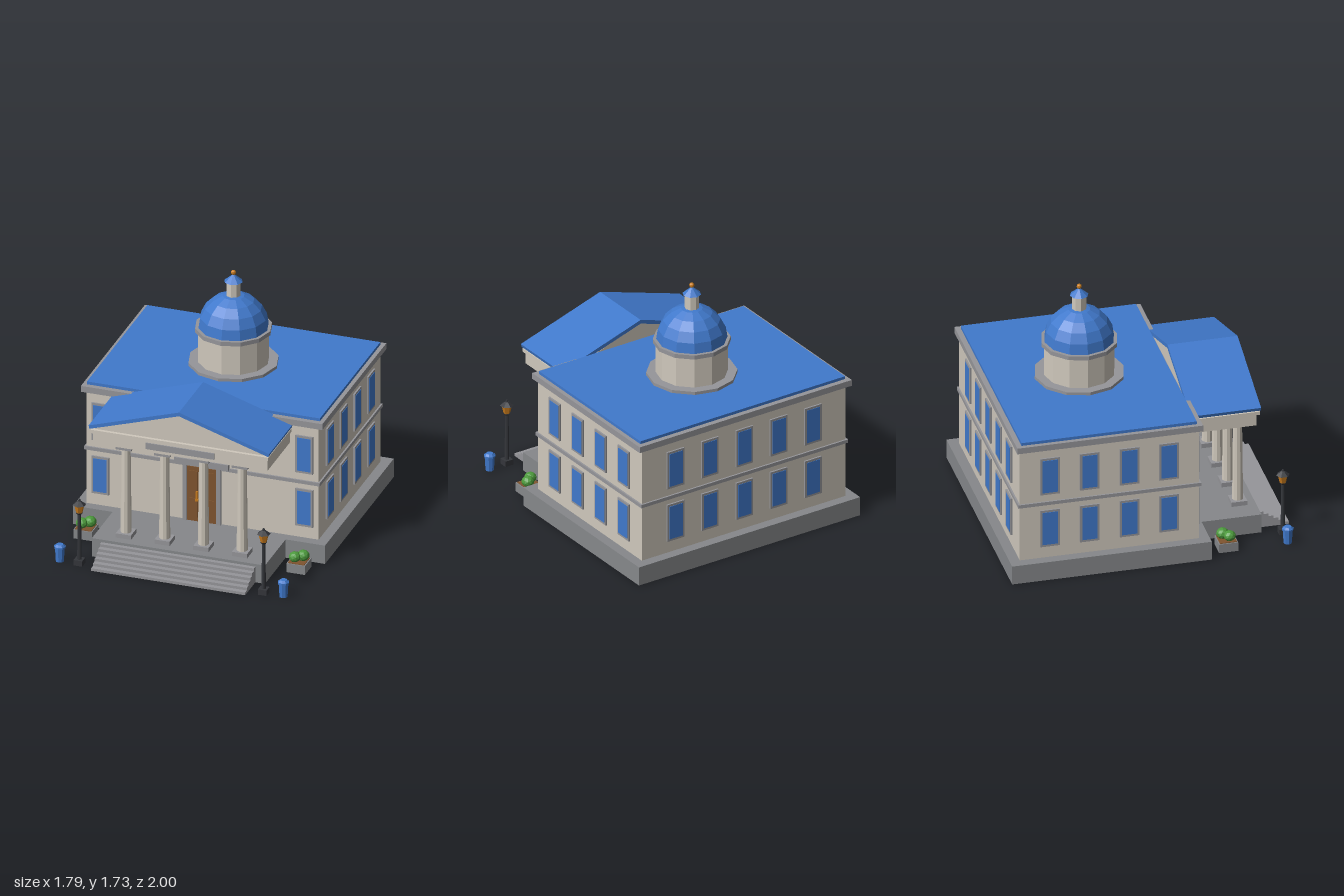
import * as THREE from 'three';

const mat = (name, color, flat = true) => {
  const m = new THREE.MeshStandardMaterial({ color, flatShading: flat });
  m.name = name;
  return m;
};

export function createModel() {
  const M = {
    wall: mat('limestone', 0xd0c9bd),
    trim: mat('grey trim', 0x96969a),
    base: mat('foundation stone', 0x86888b),
    blue: mat('blue roof and glass', 0x4079cc),
    wood: mat('brown wood', 0x80552f),
    amber: mat('amber', 0xc97c1e),
    dark: mat('dark iron', 0x34363b),
    leaf: mat('leaf green', 0x4c9a3c),
  };
  const root = new THREE.Group();
  root.name = 'domedHall';

  const add = (name, geo, m, x = 0, y = 0, z = 0, parent = root) => {
    const mesh = new THREE.Mesh(geo, m);
    mesh.name = name;
    mesh.position.set(x, y, z);
    parent.add(mesh);
    return mesh;
  };
  // Box given by half width in x, and y and z ranges
  const slab = (name, hx, y0, y1, z0, z1, m) =>
    add(name, new THREE.BoxGeometry(hx * 2, y1 - y0, z1 - z0), m, 0, (y0 + y1) / 2, (z0 + z1) / 2);
  // Upright faceted cylinder from y0 to y1
  const drum = (name, rTop, rBottom, y0, y1, sides, m, x, z, parent = root) =>
    add(name, new THREE.CylinderGeometry(rTop, rBottom, y1 - y0, sides), m, x, (y0 + y1) / 2, z, parent);
  const group = (name, x = 0, y = 0, z = 0) => {
    const g = new THREE.Group();
    g.name = name;
    g.position.set(x, y, z);
    root.add(g);
    return g;
  };

  // Foundation, porch floor and steps
  slab('foundation', 0.895, 0, 0.137, -1, 0.38, M.base);
  slab('porchFloor', 0.615, 0, 0.137, 0.38, 0.795, M.base);
  for (let i = 0; i < 6; i++) {
    slab('step', 0.547, 0, (i + 1) * 0.0196, 0.79, 1 - i * 0.035, M.trim);
  }

  // Main block
  slab('walls', 0.825, 0.137, 0.98, -0.93, 0.31, M.wall);
  slab('floorBand', 0.837, 0.542, 0.567, -0.942, 0.322, M.trim);
  slab('cornice', 0.858, 0.973, 1.017, -0.955, 0.33, M.trim);
  slab('mainRoof', 0.828, 1.017, 1.038, -0.918, 0.293, M.blue);

  // Windows: frame with a slightly raised pane, two storeys on every side
  const addWindow = (x, y, z, turn, w) => {
    const g = group('window', x, y, z);
    g.rotation.y = turn;
    add('windowFrame', new THREE.BoxGeometry(w, 0.278, 0.024), M.trim, 0, 0, 0, g);
    add('windowPane', new THREE.BoxGeometry(w - 0.03, 0.246, 0.006), M.blue, 0, 0, 0.012, g);
  };
  for (const y of [0.363, 0.761]) {
    for (const s of [-1, 1]) {
      addWindow(s * 0.725, y, 0.31, 0, 0.124);
      for (const z of [0.1, -0.173, -0.448, -0.723]) addWindow(s * 0.825, y, z, s * Math.PI / 2, 0.135);
    }
    for (let i = -2; i <= 2; i++) addWindow(i * 0.278, y, -0.93, Math.PI, 0.135);
  }

  // Double door
  const door = group('door');
  add('doorway', new THREE.BoxGeometry(0.215, 0.42, 0.02), M.dark, 0, 0.347, 0.31, door);
  add('doorLintel', new THREE.BoxGeometry(0.385, 0.044, 0.05), M.trim, 0, 0.579, 0.315, door);
  for (const s of [-1, 1]) {
    add('doorJamb', new THREE.BoxGeometry(0.03, 0.42, 0.04), M.trim, s * 0.12, 0.347, 0.315, door);
    add('doorLeaf', new THREE.BoxGeometry(0.098, 0.405, 0.03), M.wood, s * 0.054, 0.342, 0.312, door);
    for (const [y, h] of [[0.24, 0.14], [0.44, 0.15]]) {
      add('doorPanel', new THREE.BoxGeometry(0.062, h, 0.006), M.wood, s * 0.058, y, 0.329, door);
    }
    add('doorHandle', new THREE.BoxGeometry(0.012, 0.07, 0.016), M.amber, s * 0.03, 0.335, 0.338, door);
    add('handleFoot', new THREE.BoxGeometry(0.022, 0.014, 0.02), M.amber, s * 0.03, 0.305, 0.338, door);
  }

  // Porch columns
  for (const x of [-0.413, -0.138, 0.138, 0.413]) {
    const g = group('column', x, 0, 0.68);
    add('columnFoot', new THREE.BoxGeometry(0.108, 0.032, 0.108), M.trim, 0, 0.153, 0, g);
    drum('columnShaft', 0.031, 0.038, 0.169, 0.8, 10, M.wall, 0, 0, g);
    add('columnCapital', new THREE.BoxGeometry(0.112, 0.03, 0.112), M.trim, 0, 0.815, 0, g);
  }

  // Entablature, pediment and pitched porch roof
  slab('entablature', 0.62, 0.83, 0.915, 0.3, 0.76, M.wall);
  slab('porchCornice', 0.633, 0.915, 0.94, 0.3, 0.78, M.wall);
  slab('plaque', 0.243, 0.854, 0.9, 0.755, 0.768, M.trim);
  const prism = (name, points, z0, z1, m) => add(
    name,
    new THREE.ExtrudeGeometry(new THREE.Shape(points.map(p => new THREE.Vector2(...p))), { depth: z1 - z0, bevelEnabled: false }),
    m, 0, 0, z0);
  prism('pediment', [[-0.62, 0.94], [0.62, 0.94], [0, 1.15]], 0.305, 0.757, M.wall);
  prism('porchRoofRight', [[-0.635, 0.948], [0, 1.148], [0, 1.176], [-0.642, 0.972]], 0.3, 0.785, M.blue);
  prism('porchRoofLeft', [[0.635, 0.948], [0.642, 0.972], [0, 1.176], [0, 1.148]], 0.3, 0.785, M.blue);

  // Dome with its drum and lantern
  const cz = -0.31;
  drum('domeFoot', 0.307, 0.307, 1.03, 1.06, 12, M.trim, 0, cz);
  drum('domeDrum', 0.243, 0.243, 1.06, 1.285, 12, M.wall, 0, cz);
  drum('domeRing', 0.262, 0.262, 1.282, 1.312, 12, M.trim, 0, cz);
  add('dome', new THREE.SphereGeometry(0.24, 12, 5, Math.PI / 2, Math.PI * 2, 0, Math.PI / 2), M.blue, 0, 1.31, cz);
  drum('lantern', 0.05, 0.05, 1.53, 1.645, 8, M.wall, 0, cz);
  add('lanternRoof', new THREE.ConeGeometry(0.064, 0.055, 8), M.blue, 0, 1.672, cz);
  add('finial', new THREE.SphereGeometry(0.018, 8, 6), M.amber, 0, 1.709, cz);

  // Street furniture on both sides
  for (const s of [-1, 1]) {
    const lamp = group('streetLamp', s * 0.655, 0, 0.932);
    add('lampFoot', new THREE.BoxGeometry(0.062, 0.04, 0.062), M.dark, 0, 0.02, 0, lamp);
    drum('lampPost', 0.012, 0.016, 0.04, 0.385, 8, M.dark, 0, 0, lamp);
    drum('lampCollar', 0.024, 0.018, 0.376, 0.388, 6, M.dark, 0, 0, lamp);
    drum('lampGlass', 0.036, 0.022, 0.388, 0.448, 6, M.amber, 0, 0, lamp);
    drum('lampCap', 0.012, 0.047, 0.446, 0.474, 6, M.dark, 0, 0, lamp);
    drum('lampTip', 0.006, 0.01, 0.474, 0.488, 6, M.dark, 0, 0, lamp);

    const bin = group('litterBin', s * 0.795, 0, 0.93);
    drum('binBody', 0.035, 0.029, 0, 0.104, 8, M.blue, 0, 0, bin);
    drum('binRim', 0.04, 0.04, 0.1, 0.112, 8, M.blue, 0, 0, bin);
    drum('binLid', 0.024, 0.037, 0.112, 0.126, 8, M.blue, 0, 0, bin);

    const planter = group('planter', s * 0.757, 0, 0.515);
    add('planterBox', new THREE.BoxGeometry(0.132, 0.065, 0.132), M.base, 0, 0.0325, 0, planter);
    add('planterSoil', new THREE.BoxGeometry(0.116, 0.008, 0.116), M.wood, 0, 0.066, 0, planter);
    for (const [x, z, r] of [[-0.022, 0.018, 0.042], [0.024, -0.02, 0.044]]) {
      const bush = add('shrub', new THREE.IcosahedronGeometry(r, 1), M.leaf, x, 0.1, z, planter);
      bush.scale.y = 0.88;
    }
  }
  return root;
}
